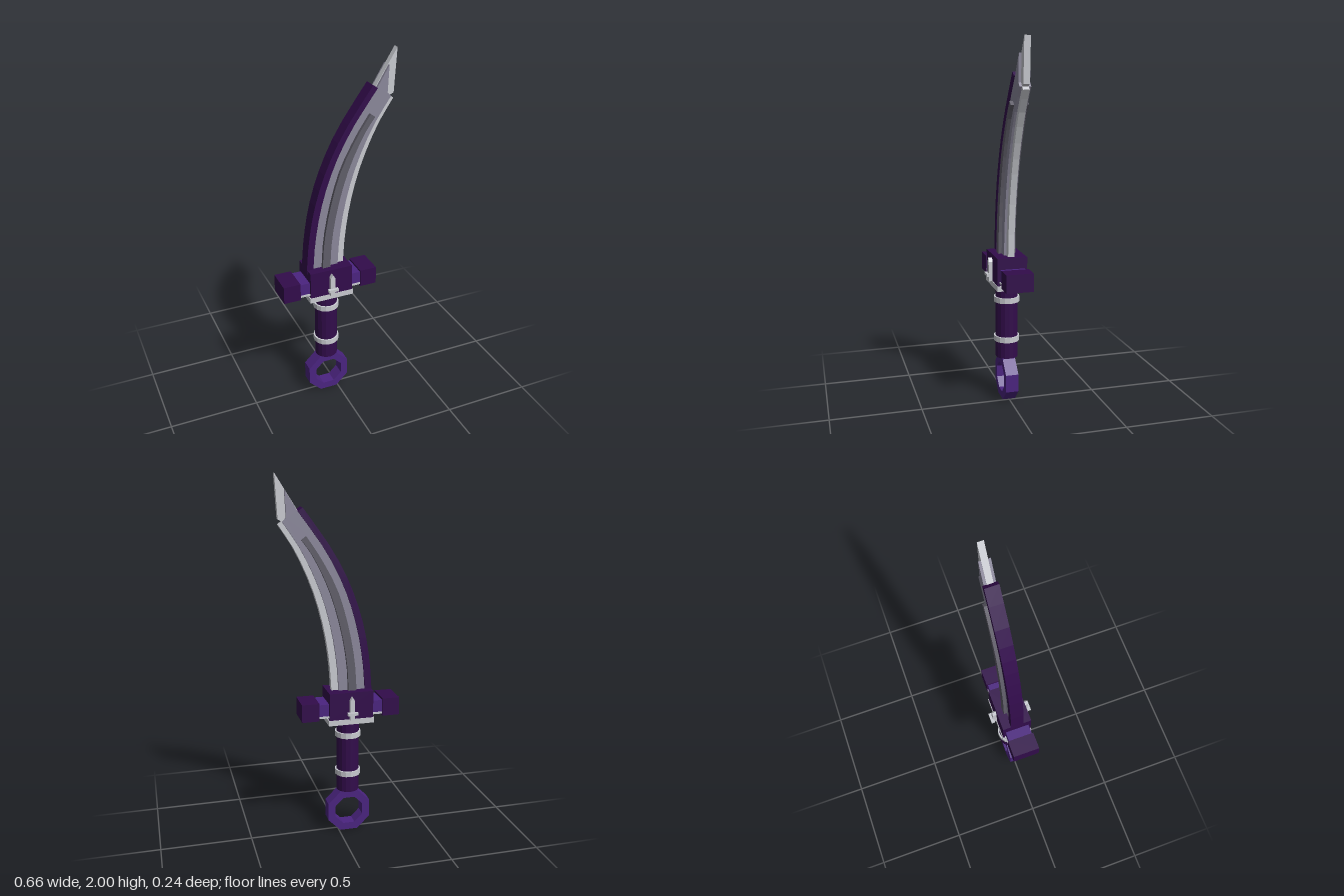
import * as THREE from 'three';

const mat = (name, color) => {
  const m = new THREE.MeshStandardMaterial({ color, flatShading: true });
  m.name = name;
  return m;
};

export function createModel() {
  const group = new THREE.Group();
  const dark = mat('dark purple', 0x320c4b);
  const purple = mat('purple', 0x4b2480);
  const silver = mat('silver', 0xc9cbd1);
  const steel = mat('steel', 0x8b889b);
  const gunmetal = mat('gunmetal', 0x605e69);
  const CX = -0.058; // axis of the grip

  const add = (name, geometry, material, x = 0, y = 0, z = 0) => {
    const mesh = new THREE.Mesh(geometry, material);
    mesh.name = name;
    mesh.position.set(x, y, z);
    group.add(mesh);
    return mesh;
  };
  // Box given by its limits in x and y and its half depth
  const block = (name, m, x0, x1, y0, y1, hz) =>
    add(name, new THREE.BoxGeometry(x1 - x0, y1 - y0, hz * 2), m, (x0 + x1) / 2, (y0 + y1) / 2);
  // Flat outline extruded evenly to both sides of z = 0
  const slab = (name, m, shape, hz) => {
    const g = new THREE.ExtrudeGeometry(shape, { depth: hz * 2, bevelEnabled: false });
    return add(name, g.translate(0, 0, -hz), m);
  };
  const points = (list) => list.map(([x, y]) => new THREE.Vector2(x, y));
  const curve = (list) => new THREE.SplineCurve(points(list)).getPoints(12);
  const octagon = (r) => Array.from({ length: 8 }, (_, i) => {
    const a = Math.PI / 8 + i * Math.PI / 4;
    return new THREE.Vector2(CX + r * Math.cos(a), 0.12 + r * Math.sin(a));
  });

  // Octagonal pommel ring
  const ring = new THREE.Shape(octagon(0.13));
  ring.holes.push(new THREE.Path(octagon(0.085).reverse()));
  slab('pommelRing', purple, ring, 0.036);

  // Grip with two collars
  add('grip', new THREE.CylinderGeometry(0.063, 0.063, 0.425, 16), dark, CX, 0.4575);
  for (const y of [0.355, 0.583]) {
    add('gripCollar', new THREE.CylinderGeometry(0.072, 0.072, 0.03, 16), silver, CX, y);
  }

  // Guard: base plate, centre block and two arms with end blocks
  block('guardPlate', silver, -0.185, 0.07, 0.66, 0.69, 0.086);
  block('guardBlock', dark, -0.18, 0.065, 0.69, 0.842, 0.083);
  for (const s of [-1, 1]) {
    const limits = (a, b) => [CX + s * a, CX + s * b].sort((p, q) => p - q);
    block('guardArm', purple, ...limits(0.11, 0.19), 0.713, 0.78, 0.068);
    block('guardArmTrim', silver, ...limits(0.11, 0.19), 0.702, 0.713, 0.072);
    block('guardEnd', dark, ...limits(0.178, 0.274), 0.69, 0.79, 0.075);
  }

  // Small dagger emblem on both faces of the guard
  const emblem = new THREE.Shape(points([
    [CX - 0.013, 0.69], [CX + 0.013, 0.69], [CX + 0.013, 0.8], [CX, 0.822], [CX - 0.013, 0.8],
  ]));
  for (const s of [-1, 1]) {
    const g = new THREE.ExtrudeGeometry(emblem, { depth: 0.025, bevelEnabled: false });
    add('emblemBlade', g, silver, 0, 0, s > 0 ? 0.08 : -0.105);
    add('emblemCross', new THREE.BoxGeometry(0.058, 0.015, 0.02), silver, CX, 0.728, s * 0.109);
  }

  // Long curves of the blade, from the guard to the tip
  const spineOuter = curve([[-0.184, 0.82], [-0.17, 1.0], [-0.135, 1.2], [-0.07, 1.4], [0.03, 1.6], [0.19, 1.828]]);
  const spineInner = curve([[-0.146, 0.82], [-0.132, 1.0], [-0.096, 1.2], [-0.032, 1.4], [0.068, 1.6], [0.216, 1.81]]);
  const bodyFront = curve([[0.0, 0.82], [0.012, 1.0], [0.045, 1.2], [0.103, 1.4], [0.193, 1.6], [0.295, 1.757]]);
  const edgeFront = curve([[0.038, 0.82], [0.05, 1.0], [0.082, 1.2], [0.138, 1.4], [0.225, 1.6], [0.315, 1.742]]);
  const fullerBack = curve([[-0.095, 0.82], [-0.084, 1.0], [-0.048, 1.2], [0.012, 1.4], [0.1, 1.57], [0.175, 1.683]]);
  const fullerFront = curve([[-0.05, 0.82], [-0.04, 1.0], [-0.004, 1.2], [0.056, 1.4], [0.135, 1.57], [0.2, 1.665]]);
  const strip = (front, back, tip = []) => new THREE.Shape([...front, ...points(tip), ...[...back].reverse()]);

  slab('spine', dark, strip(spineInner, spineOuter), 0.037);
  slab('bladeBody', steel, strip(bodyFront, spineInner, [[0.275, 1.777], [0.281, 1.918]]), 0.03);
  slab('cuttingEdge', silver, strip(edgeFront, bodyFront), 0.017);
  slab('fuller', gunmetal, strip(fullerFront, fullerBack), 0.048);
  slab('bladeTip', silver, new THREE.Shape(points([
    [0.205, 1.8], [0.27, 1.74], [0.298, 1.76], [0.316, 1.77], [0.329, 2.0],
  ])), 0.0165);

  return group;
}
